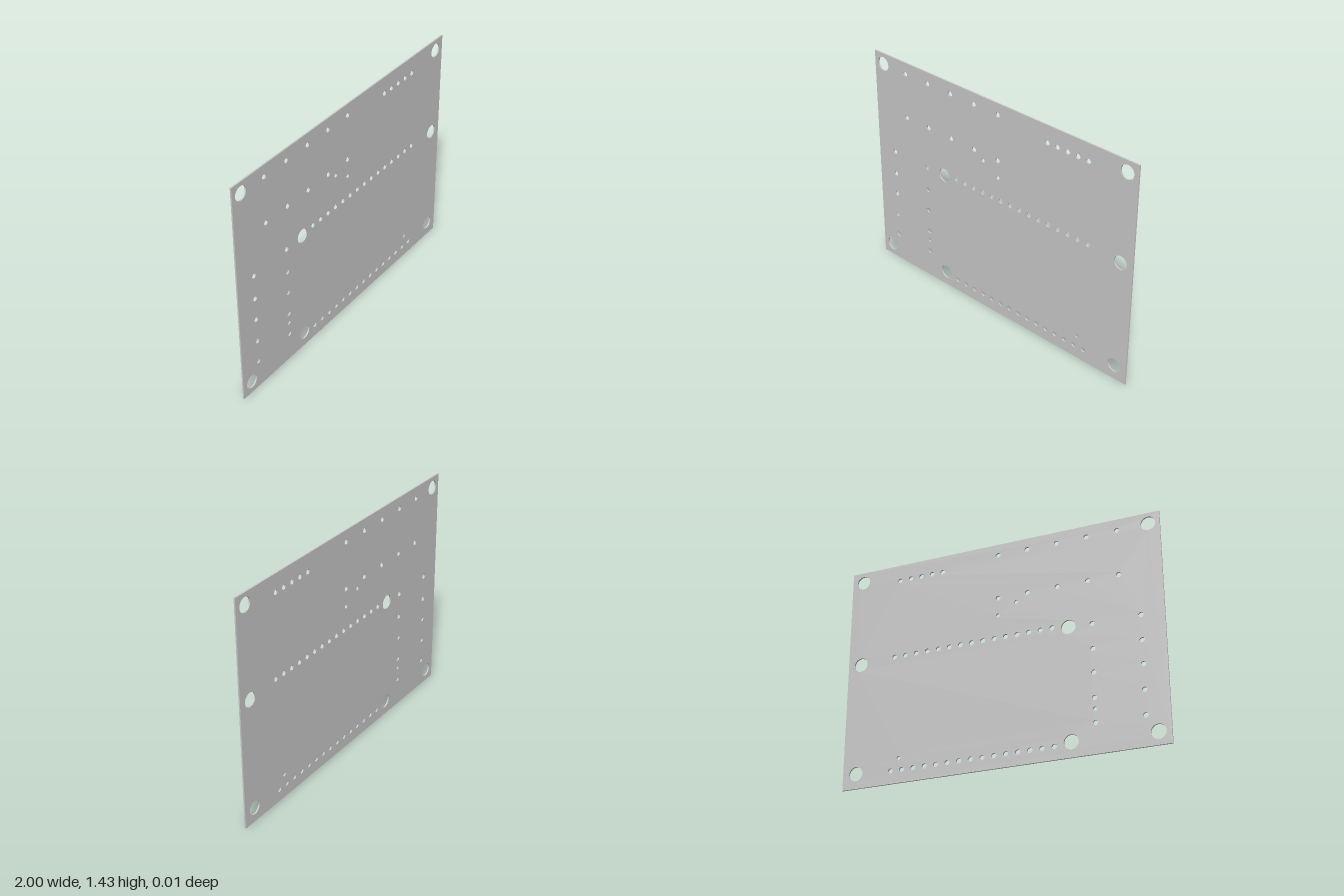
import * as THREE from 'three';

const WIDTH = 2, HEIGHT = 1.43, THICKNESS = 0.009;
const BIG = 0.044, PIN = 0.0155, SMALL = 0.0125;

export function createModel() {
  const group = new THREE.Group();
  group.name = 'circuitBoard';

  // Rectangular board outline
  const board = new THREE.Shape();
  board.moveTo(-WIDTH / 2, 0);
  board.lineTo(WIDTH / 2, 0);
  board.lineTo(WIDTH / 2, HEIGHT);
  board.lineTo(-WIDTH / 2, HEIGHT);
  board.closePath();

  const drill = (x, y, r) => {
    const hole = new THREE.Path();
    hole.absarc(x, y, r, 0, Math.PI * 2, true);
    board.holes.push(hole);
  };
  // Evenly spaced horizontal row of pin holes
  const row = (x, y, count, step) => {
    for (let i = 0; i < count; i++) drill(x + i * step, y, PIN);
  };

  // Mounting holes: board corners and the inner module's corners
  [[-0.93, 1.361], [0.925, 1.36], [-0.925, 0.078],
    [-0.428, 0.793], [0.915, 0.793], [-0.428, 0.092], [0.915, 0.092]]
    .forEach(([x, y]) => drill(x, y, BIG));

  // Two long header rows of the module, and a short header at the top
  row(-0.328, 0.806, 15, 0.0725);
  row(-0.328, 0.079, 15, 0.0725);
  row(0.377, 1.322, 5, 0.0725);

  // Component lead holes: paired rows along the top
  row(-0.74, 1.357, 5, 0.1873);
  row(-0.74, 1.066, 5, 0.1873);

  // Component lead holes: paired columns on the side
  for (const y of [0.787, 0.631, 0.485, 0.332, 0.183]) {
    drill(-0.86, y, PIN);
    drill(-0.572, y, PIN);
  }

  // Single lead holes
  [[-0.107, 1.02], [0.01, 0.953], [-0.572, 0.265], [0.636, 0.153]]
    .forEach(([x, y]) => drill(x, y, SMALL));

  const geometry = new THREE.ExtrudeGeometry(board, {
    depth: THICKNESS, bevelEnabled: false, curveSegments: 14,
  });
  geometry.translate(0, 0, -THICKNESS / 2);

  const mesh = new THREE.Mesh(geometry, new THREE.MeshStandardMaterial({ color: 0xcccccc }));
  mesh.name = 'drilledBoard';
  group.add(mesh);
  return group;
}
